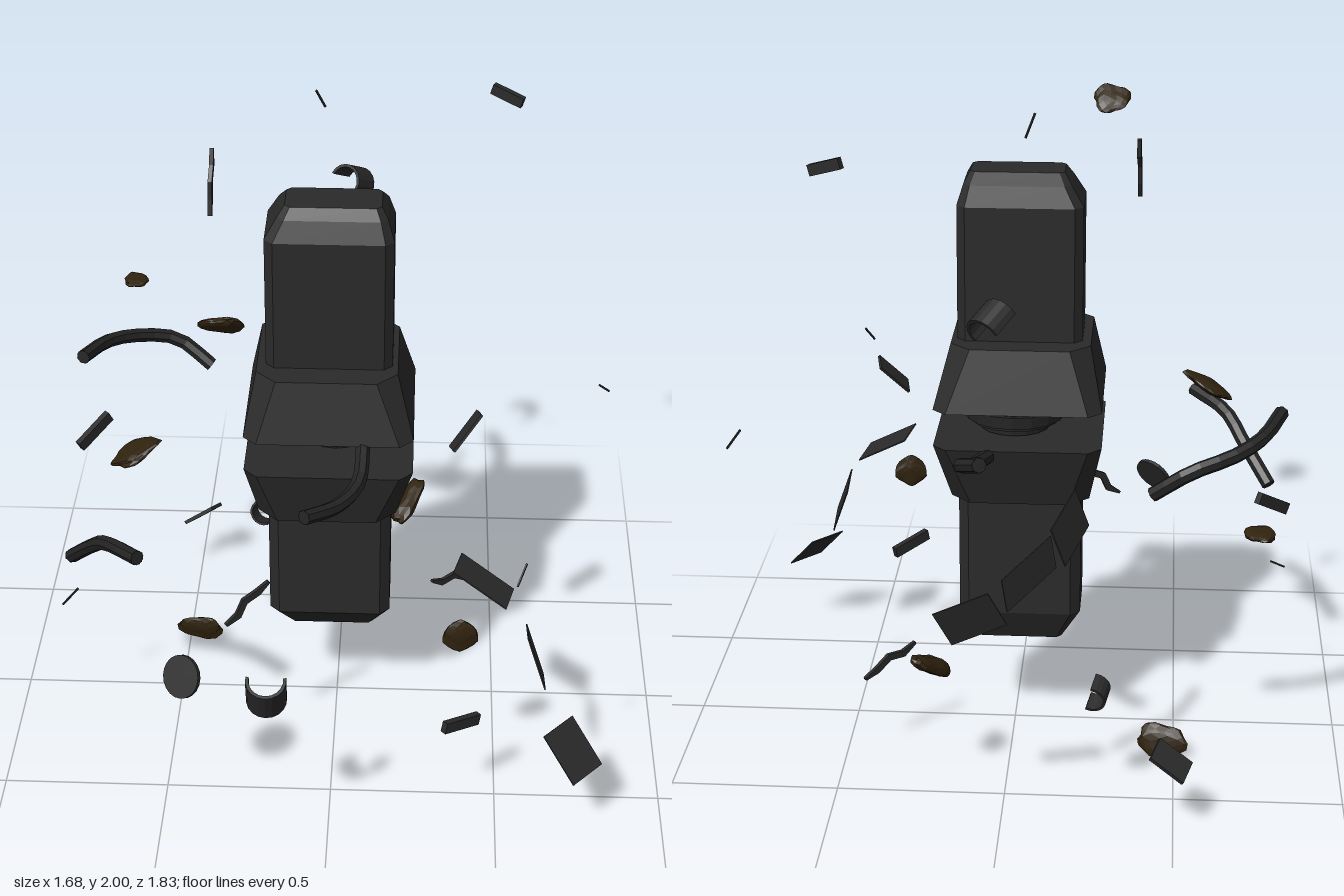
import * as THREE from 'three';

const V = (a) => new THREE.Vector3(...a);

export function createModel() {
  const root = new THREE.Group();
  const material = (name, color) => {
    const m = new THREE.MeshStandardMaterial({ color, flatShading: true, side: THREE.DoubleSide });
    m.name = name;
    return m;
  };
  const casing = material('charcoal casing', 0x2a2a2a);
  const cableMat = material('dark cable', 0x232324);
  const rockMat = material('scorched brown', 0x30230f);

  const add = (name, geometry, mat) => {
    const mesh = new THREE.Mesh(geometry, mat);
    mesh.name = name;
    root.add(mesh);
    return mesh;
  };

  // Loft through rectangles with clipped corners: [y, x0, x1, z0, z1, clip], bottom to top
  function loft(rings) {
    const pos = [], idx = [];
    for (const [y, x0, x1, z0, z1, c] of rings) {
      for (const [x, z] of [[x0 + c, z1], [x1 - c, z1], [x1, z1 - c], [x1, z0 + c],
        [x1 - c, z0], [x0 + c, z0], [x0, z0 + c], [x0, z1 - c]]) pos.push(x, y, z);
    }
    for (let r = 0; r < rings.length - 1; r++) {
      for (let i = 0; i < 8; i++) {
        const a = r * 8 + i, b = r * 8 + (i + 1) % 8;
        idx.push(a, b, b + 8, a, b + 8, a + 8);
      }
    }
    const top = (rings.length - 1) * 8;
    for (let i = 1; i < 7; i++) idx.push(0, i + 1, i, top, top + i, top + i + 1);
    const g = new THREE.BufferGeometry();
    g.setAttribute('position', new THREE.Float32BufferAttribute(pos, 3));
    g.setIndex(idx);
    const flat = g.toNonIndexed();
    flat.computeVertexNormals();
    return flat;
  }

  // Main casing halves with tapered ends
  add('upperCasing', loft([
    [1.25, -0.204, 0.167, -0.097, 0.138, 0.025],
    [1.69, -0.204, 0.167, -0.097, 0.138, 0.025],
    [1.75, -0.168, 0.148, -0.075, 0.112, 0.02],
    [1.782, -0.146, 0.13, -0.037, 0.09, 0.015]]), casing);
  add('lowerCasing', loft([
    [0.305, -0.146, 0.115, -0.05, 0.05, 0.015],
    [0.405, -0.204, 0.167, -0.097, 0.138, 0.03],
    [0.84, -0.204, 0.167, -0.097, 0.138, 0.03]]), casing);

  // Flared collars facing each other across the gap
  const wide = [-0.267, 0.232, -0.23, 0.266, 0.04];
  const narrow = [-0.23, 0.183, -0.18, 0.22, 0.06];
  add('upperCollar', loft([[1.1, ...wide], [1.285, ...narrow]]), casing);
  add('lowerCollar', loft([[0.803, ...narrow], [0.988, ...wide]]), casing);

  // Stacked core in the gap
  for (const [r, y, h] of [[0.08, 1.044, 0.12], [0.105, 1.09, 0.018], [0.105, 1.0, 0.018],
    [0.135, 1.045, 0.06], [0.15, 1.045, 0.036]]) {
    add('coreRing', new THREE.CylinderGeometry(r, r, h, 16).translate(0, y, 0), cableMat);
  }

  // Torn cables
  [
    [[-0.79, 1.115, -0.19], [-0.73, 1.09, -0.34], [-0.65, 1.065, -0.42], [-0.53, 1.03, -0.465], [-0.42, 0.95, -0.44]],
    [[-0.785, 0.7, 0.28], [-0.71, 0.8, 0.37], [-0.65, 0.875, 0.46], [-0.545, 0.91, 0.58]],
    [[0.06, 1.01, -0.33], [0.09, 1.05, -0.5], [0.11, 1.1, -0.63], [0.05, 1.145, -0.74]],
    [[0.085, 1.1, 0.23], [0.075, 1.04, 0.37], [0.02, 1.03, 0.47], [-0.07, 1.055, 0.57]],
  ].forEach((points) => {
    const curve = new THREE.CatmullRomCurve3(points.map(V));
    add('cable', new THREE.TubeGeometry(curve, 10, 0.022, 7), cableMat);
    for (const t of [0, 1]) {
      const cap = add('cableEnd', new THREE.CircleGeometry(0.022, 7), cableMat);
      cap.position.copy(curve.getPointAt(t));
      cap.lookAt(cap.position.clone().add(curve.getTangentAt(t).multiplyScalar(t ? 1 : -1)));
    }
  });

  // Places a unit geometry so its x and y run along u and v, with thickness t
  function place(geometry, centre, u, v, t) {
    const n = u.clone().cross(v).normalize().multiplyScalar(t);
    return geometry.applyMatrix4(new THREE.Matrix4().makeBasis(u, v, n).setPosition(V(centre)));
  }

  // Loose plates: centre, two edge vectors, thickness
  [
    [[0.72, 0.29, 0.63], [0.088, 0, -0.1], [0.09, -0.115, 0.08]],
    [[0.605, 0.525, 0.49], [0, 0.035, 0.12], [0.055, -0.155, 0.04]],
    [[0.445, 0.755, 0.435], [-0.025, 0.015, 0.12], [0.155, -0.09, 0.05]],
    [[-0.19, 0.887, -0.548], [0.04, 0.115, -0.013], [0.06, -0.06, -0.158]],
    [[-0.083, 0.807, -0.695], [0.015, 0.1, -0.01], [0.13, -0.09, -0.11]],
    [[0.078, 0.69, -0.752], [0.05, 0.11, -0.038], [0.155, -0.07, 0.005]],
    [[-0.49, 0.22, -0.667], [0.095, 0.07, 0.012], [-0.026, 0.028, 0.072], 0.012],
    [[0.385, 1.09, 0.15], [0.08, 0.095, -0.055], [0.012, 0.02, 0.06], 0.008],
  ].forEach(([c, u, v, t = 0.004]) =>
    add('loosePlate', place(new THREE.BoxGeometry(1, 1, 1), c, V(u), V(v), t), casing));

  // Splinters: start, end, width, thickness, zigzag amount
  [
    [[-0.07, 2.0, -0.225], [-0.045, 1.936, -0.255], 0.006, 0.004, 0],
    [[0.525, 0.99, 0.785], [0.55, 1.04, 0.745], 0.006, 0.004, 0],
    [[0.8, 1.035, -0.222], [0.835, 0.99, -0.262], 0.006, 0.004, 0],
    [[-0.84, 0.455, 0.197], [-0.795, 0.49, 0.157], 0.006, 0.004, 0],
    [[0.445, 1.91, -0.47], [0.535, 1.88, -0.433], 0.032, 0.02, 0],
    [[-0.815, 0.805, -0.165], [-0.73, 0.87, -0.25], 0.035, 0.02, 0],
    [[0.34, 0.355, 0.62], [0.44, 0.322, 0.53], 0.035, 0.02, 0],
    [[-0.36, 1.89, -0.06], [-0.365, 1.71, 0.012], 0.022, 0.012, 0.5],
    [[0.3, 0.325, -0.155], [0.44, 0.265, -0.285], 0.022, 0.012, 0.5],
    [[-0.31, 0.59, 0.46], [-0.19, 0.71, 0.395], 0.022, 0.012, 0.5],
  ].forEach(([a, b, w, t, zig]) => {
    const u = V(b).sub(V(a));
    const v = new THREE.Vector3(0, 1, 0).cross(u).cross(u).setLength(w);
    const g = new THREE.BoxGeometry(1, 1, 1, 4, 1, 1);
    const p = g.attributes.position;
    for (let i = 0; i < p.count; i++) {
      const k = Math.round((p.getX(i) + 0.5) * 4);
      p.setY(i, p.getY(i) * (zig && k % 4 === 0 ? 0.4 : 1) + zig * Math.sin(k * 2.2));
    }
    const c = V(a).add(V(b)).multiplyScalar(0.5).toArray();
    add('splinter', place(g, c, u, v, t), casing);
  });

  // Lumpy flat fragments: centre, two spans, thickness
  [
    [[-0.255, 1.815, 0.827], [0.11, 0, 0], [0, 0.07, 0.08], 0.03],
    [[-0.585, 1.045, 0.235], [0.14, 0.08, 0], [0.01, 0, 0.11], 0.03],
    [[-0.71, 1.02, -0.87], [0.075, 0, 0.01], [0, 0.005, 0.095], 0.022],
    [[-0.46, 0.053, -0.235], [0.14, 0, 0.02], [0, 0.095, 0.025], 0.03],
    [[0.38, 0.62, 0.525], [0.1, 0, -0.01], [0, 0.1, 0], 0.02],
    [[0.215, 0.41, -0.48], [0.07, 0.08, -0.13], [0.06, 0.02, 0.055], 0.045],
  ].forEach(([c, u, v, t], k) => {
    const g = new THREE.IcosahedronGeometry(0.53, 2);
    const p = g.attributes.position;
    const d = new THREE.Vector3();
    for (let i = 0; i < p.count; i++) {
      d.fromBufferAttribute(p, i);
      d.multiplyScalar(1 + 0.1 * Math.sin(d.x * 9 + k * 2) + 0.08 * Math.sin(d.y * 11 + d.z * 7 + k));
      p.setXYZ(i, d.x, d.y, d.z);
    }
    add('fragment', place(g, c, V(u), V(v), t), rockMat);
  });

  // Curved shell pieces: centre, axis, outward side, radius, length
  [
    [[-0.165, 0.645, 0.83], [0.02, 0.9, 0.4], [0, -0.3, 1], 0.058, 0.115],
    [[0.02, 1.51, -0.63], [0.5, -0.45, -0.72], [0.5, 0.8, 0], 0.055, 0.09],
    [[-0.26, 0.35, -0.505], [0.2, -0.3, -0.9], [-1, -0.2, 0], 0.045, 0.065],
  ].forEach(([c, axis, out, r, len]) => {
    const y = V(axis).normalize();
    const x = y.clone().cross(V(out)).normalize();
    const z = x.clone().cross(y);
    const span = 3.5;
    const g = new THREE.Group();
    g.name = 'curvedShell';
    for (const s of [1, 0.84]) {
      const m = new THREE.Mesh(new THREE.CylinderGeometry(r * s, r * s, len, 10, 1, true, -span / 2, span), casing);
      m.name = s === 1 ? 'shellOutside' : 'shellInside';
      g.add(m);
    }
    for (const e of [-1, 1]) {
      const rim = new THREE.RingGeometry(r * 0.84, r, 10, 1, Math.PI / 2 - span / 2, span);
      const m = new THREE.Mesh(rim.rotateX(Math.PI / 2).translate(0, e * len / 2, 0), casing);
      m.name = 'shellRim';
      g.add(m);
    }
    g.quaternion.setFromRotationMatrix(new THREE.Matrix4().makeBasis(x, y, z));
    g.position.set(...c);
    root.add(g);
  });

  // Loose round cap
  const disc = add('roundCap', new THREE.CylinderGeometry(0.063, 0.063, 0.012, 20), casing);
  disc.position.set(-0.42, 0.567, 0.68);
  disc.quaternion.setFromUnitVectors(new THREE.Vector3(0, 1, 0), V([-0.52, 0.45, 0.72]).normalize());

  return root;
}
